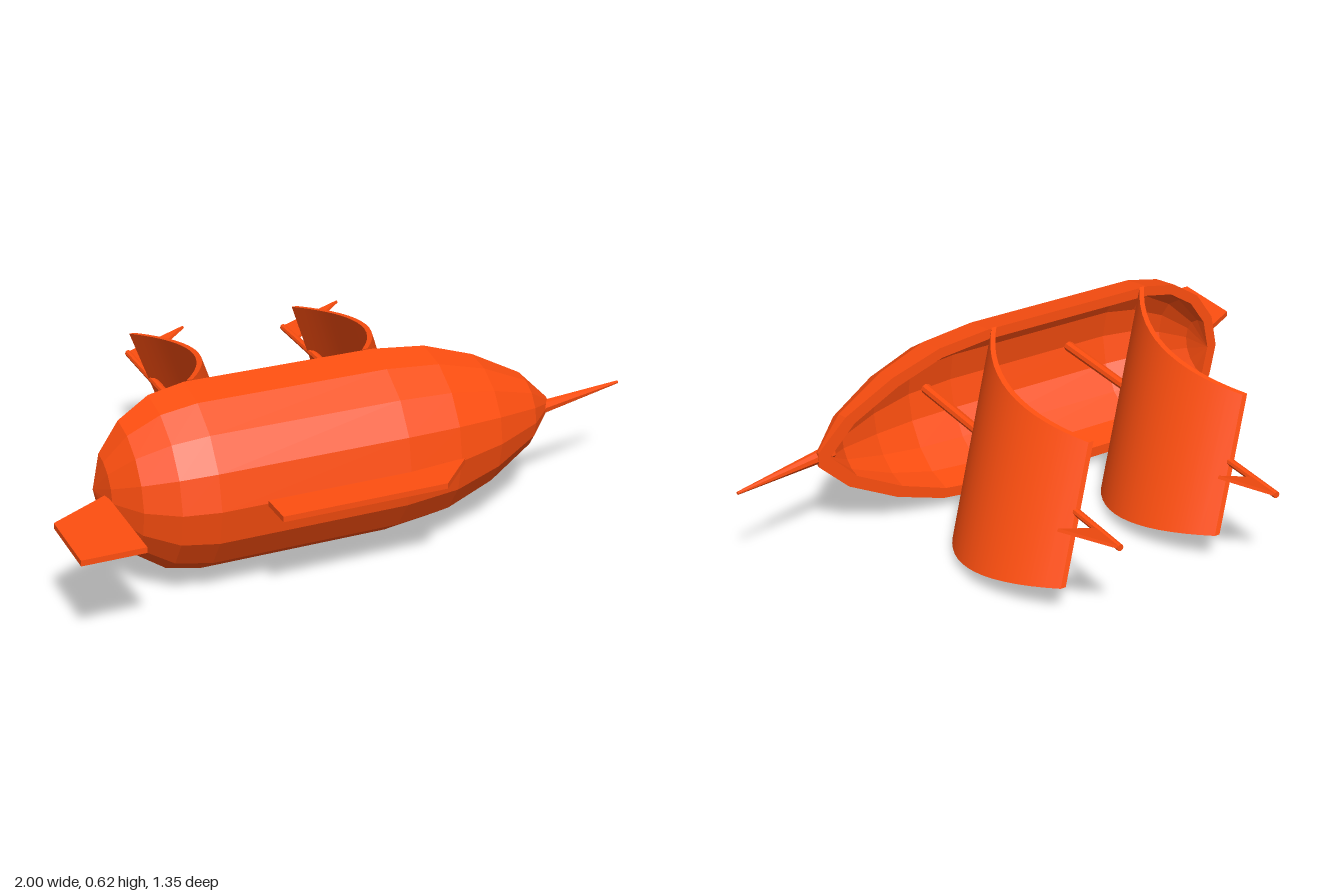
import * as THREE from 'three';
import { toCreasedNormals } from 'three/addons/utils/BufferGeometryUtils.js';

const MID = 0.325;   // height of the ship's centre plane
const DECK = 0.25;   // z of the open deck plane; masts run towards -z

export function createModel() {
  const group = new THREE.Group();
  const material = new THREE.MeshStandardMaterial({ color: 0xff4f10 });
  const faceted = new THREE.MeshStandardMaterial({ color: 0xff4f10, flatShading: true });

  function add(name, geometry, x, y, z, mat = faceted) {
    const mesh = new THREE.Mesh(geometry, mat);
    mesh.name = name;
    mesh.position.set(x, y, z);
    group.add(mesh);
    return mesh;
  }

  // flat board in the x-z plane, outlined by [x, z] corners
  function board(corners, thickness) {
    const shape = new THREE.Shape(corners.map(([x, z]) => new THREE.Vector2(x, -z)));
    const g = new THREE.ExtrudeGeometry(shape, { depth: thickness, bevelEnabled: false });
    return g.translate(0, 0, -thickness / 2).rotateX(-Math.PI / 2);
  }

  // tapered round pole between two points
  function pole(name, from, to, r0, r1) {
    const a = new THREE.Vector3(...from), b = new THREE.Vector3(...to);
    const dir = b.clone().sub(a);
    const mesh = add(name, new THREE.CylinderGeometry(r1, r0, dir.length(), 8), 0, 0, 0);
    mesh.position.copy(a).add(b).multiplyScalar(0.5);
    mesh.quaternion.setFromUnitVectors(new THREE.Vector3(0, 1, 0), dir.normalize());
  }

  // hull profile [radius, x]: round stern, straight middle, pointed bow
  function profile(radius, bow) {
    const pts = [];
    for (let i = 0; i <= 4; i++) {
      const a = (i * Math.PI) / 8;
      pts.push(new THREE.Vector2(radius * Math.sin(a), -0.53 - radius * Math.cos(a)));
    }
    bow.forEach(([r, x]) => pts.push(new THREE.Vector2(r, x)));
    return pts;
  }
  const outer = profile(0.295, [[0.295, 0.08], [0.275, 0.26], [0.217, 0.43], [0.125, 0.6], [0.025, 0.7], [0, 0.7]]);
  const inner = profile(0.26, [[0.26, 0.08], [0.24, 0.25], [0.182, 0.41], [0.095, 0.57], [0, 0.66]]);

  // half-round outer skin and inner lining
  const halfLathe = (pts) =>
    new THREE.LatheGeometry(pts, 8, -Math.PI / 2, Math.PI).rotateZ(-Math.PI / 2);
  add('hullOuter', halfLathe(outer), 0, MID, DECK);
  add('hullInner', halfLathe(inner.slice().reverse()), 0, MID, DECK);

  // rim joining skin and lining
  const loop = (pts) => [
    ...pts.map((p) => new THREE.Vector2(p.y, -p.x)),
    ...pts.slice(1, -1).reverse().map((p) => new THREE.Vector2(p.y, p.x)),
  ];
  const rim = new THREE.Shape(loop(outer));
  rim.holes.push(new THREE.Path(loop(inner)));
  add('hullRim', new THREE.ShapeGeometry(rim).rotateX(Math.PI), 0, MID, DECK);

  // bowsprit, keel and rudder
  pole('bowsprit', [0.64, MID, 0.285], [1, MID, 0.202], 0.024, 0.005);
  add('keel', board([[-0.385, 0.525], [-0.385, 0.655], [0.145, 0.655], [0.27, 0.525]], 0.018), 0, MID, 0);
  add('rudder', board([[-1, 0.425], [-1, 0.67], [-0.805, 0.67], [-0.805, 0.315]], 0.018), 0, MID, 0);

  // sail: a thin sheet, wider at its foot, swung round and bulging forward
  function sailGeometry() {
    const g = new THREE.BoxGeometry(0.018, 1, 1, 1, 1, 14);
    const foot = new THREE.Vector3(0.002, 0.313, 0.17);
    const head = new THREE.Vector3(0.002, 0.318, -0.443);
    const footYard = new THREE.Vector3(-0.25, 0.62, 0.16);
    const headYard = new THREE.Vector3(-0.165, 0.405, 0.108);
    const pos = g.attributes.position;
    const p = new THREE.Vector3(), yard = new THREE.Vector3();
    for (let i = 0; i < pos.count; i++) {
      const t = 0.5 - pos.getZ(i);
      yard.lerpVectors(footYard, headYard, t);
      p.lerpVectors(foot, head, t).addScaledVector(yard, pos.getY(i));
      p.x += pos.getX(i) + 0.108 * 4 * t * (1 - t);
      pos.setXYZ(i, p.x, p.y, p.z);
    }
    return toCreasedNormals(g, 0.6);
  }
  const sail = sailGeometry();
  const flag = board([[0, -0.675], [0, -0.555], [0.2, -0.615]], 0.01);

  // two matching masts, each with a sail and a pennant
  [['aft', -0.388], ['fore', 0.182]].forEach(([side, x]) => {
    pole(side + 'Mast', [x, MID, 0.53], [x, MID, -0.675], 0.018, 0.011);
    add(side + 'Sail', sail, x, 0, 0, material);
    add(side + 'Flag', flag, x, MID, 0).rotation.z = 0.46;
  });

  return group;
}
